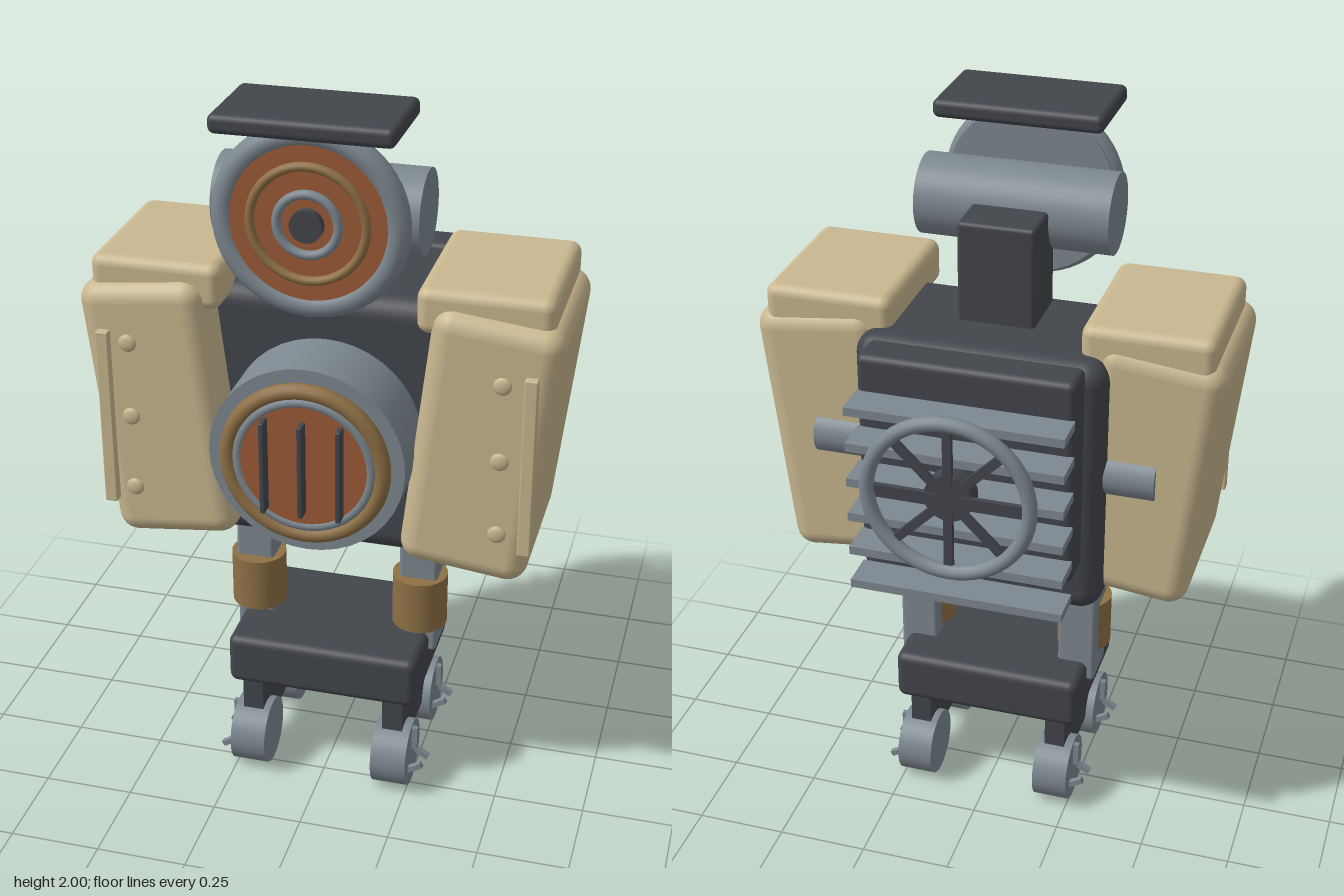
import * as THREE from 'three';
import { RoundedBoxGeometry } from 'three/addons/geometries/RoundedBoxGeometry.js';

const material = (name, color) => {
  const m = new THREE.MeshStandardMaterial({ color });
  m.name = name;
  return m;
};

export function createModel() {
  const model = new THREE.Group();
  model.name = 'robot';
  const tan = material('tan armour', 0xc8b78f);
  const dark = material('dark frame', 0x42454b);
  const steel = material('grey steel', 0x7d8890);
  const bronze = material('bronze', 0x8e7045);
  const copper = material('copper', 0x9c5a36);

  const add = (name, geometry, mat, x, y, z, parent = model) => {
    const mesh = new THREE.Mesh(geometry, mat);
    mesh.name = name;
    mesh.position.set(x, y, z);
    parent.add(mesh);
    return mesh;
  };
  const box = (name, mat, w, h, d, r, x, y, z) =>
    add(name, r ? new RoundedBoxGeometry(w, h, d, 4, r) : new THREE.BoxGeometry(w, h, d), mat, x, y, z);
  // Cylinder lying along the given axis
  const cylinder = (name, mat, r, length, axis, x, y, z) => {
    const g = new THREE.CylinderGeometry(r, r, length, 40);
    if (axis === 'x') g.rotateZ(Math.PI / 2);
    if (axis === 'z') g.rotateX(Math.PI / 2);
    return add(name, g, mat, x, y, z);
  };
  const ring = (name, mat, R, tube, x, y, z) =>
    add(name, new THREE.TorusGeometry(R, tube, 12, 56), mat, x, y, z);

  // Torso and neck
  box('torso', dark, 0.68, 0.745, 0.42, 0.06, 0, 1.1025, 0);
  box('neck', dark, 0.21, 0.35, 0.19, 0.012, 0, 1.575, 0.065);

  // Head: cross drum, round face and visor
  cylinder('headDrum', steel, 0.11, 0.53, 'x', 0, 1.723, 0.205);
  cylinder('faceBack', steel, 0.235, 0.05, 'z', 0, 1.723, 0.325);
  ring('faceRim', steel, 0.22, 0.033, 0, 1.723, 0.337);
  cylinder('faceDisc', copper, 0.2, 0.02, 'z', 0, 1.723, 0.352);
  ring('faceOuterRing', bronze, 0.147, 0.012, 0, 1.723, 0.364);
  ring('faceInnerRing', steel, 0.078, 0.012, 0, 1.723, 0.368);
  cylinder('facePupil', dark, 0.042, 0.03, 'z', 0, 1.723, 0.368);
  box('visor', dark, 0.46, 0.05, 0.272, 0.018, 0, 1.975, 0.291);

  // Chest porthole with three bars
  cylinder('chestDrum', steel, 0.26, 0.22, 'z', 0, 1.09, 0.29);
  ring('chestBronzeRing', bronze, 0.205, 0.022, 0, 1.09, 0.412);
  ring('chestInnerRing', steel, 0.177, 0.016, 0, 1.09, 0.415);
  cylinder('chestDisc', copper, 0.168, 0.035, 'z', 0, 1.09, 0.41);
  for (const x of [-0.1, 0, 0.1]) box('chestBar', dark, 0.014, 0.26, 0.045, 0.004, x, 1.087, 0.441);

  // Back radiator with fins and fan
  box('radiator', dark, 0.58, 0.59, 0.11, 0.02, 0, 1.18, -0.248);
  for (let i = 0; i < 6; i++) box('radiatorFin', steel, 0.58, 0.024, 0.1, 0, 0, 0.843 + i * 0.104, -0.35);
  ring('fanRim', steel, 0.216, 0.02, 0, 1.18, -0.445);
  cylinder('fanHub', dark, 0.065, 0.05, 'z', 0, 1.18, -0.418);
  for (let i = 0; i < 4; i++) {
    box('fanSpoke', dark, 0.42, 0.024, 0.014, 0, 0, 1.18, -0.44).rotation.z = i * Math.PI / 4;
  }

  for (const s of [-1, 1]) {
    // Shoulder pods, leaning inwards at the bottom
    cylinder('shoulderAxle', steel, 0.065, 0.2, 'x', s * 0.37, 1.137, -0.11);
    box('armPod', tan, 0.342, 0.735, 0.48, 0.055, s * 0.43, 1.132, 0.09).rotation.z = -s * 0.115;
    box('shoulderCap', tan, 0.35, 0.125, 0.435, 0.03, s * 0.43, 1.4925, 0.08);
    box('podStrip', tan, 0.034, 0.5, 0.03, 0.004, s * 0.561, 1.115, 0.337);
    for (const y of [0.92, 1.131, 1.342]) {
      add('podRivet', new THREE.SphereGeometry(0.024, 20, 12), tan, s * 0.49, y, 0.35).scale.z = 0.42;
    }

    // Legs
    box('leg', steel, 0.107, 0.43, 0.135, 0.01, s * 0.236, 0.585, 0.048);
    cylinder('kneeSleeve', bronze, 0.077, 0.155, 'y', s * 0.235, 0.527, 0.078);

    // Wheel bracket, wheels and hub pins
    box('wheelBracket', dark, 0.058, 0.2, 0.38, 0, s * 0.203, 0.21, 0.075);
    for (const z of [0.232, -0.085]) {
      cylinder('wheel', steel, 0.095, 0.1, 'x', s * 0.205, 0.1, z);
      for (let i = 0; i < 3; i++) {
        const a = i * Math.PI * 2 / 3;
        const pin = box('hubPin', steel, 0.016, 0.07, 0.016, 0,
          s * 0.262, 0.1 + Math.cos(a) * 0.05, z + Math.sin(a) * 0.05);
        pin.rotation.z = a;
      }
    }
  }

  // Base joining both legs
  box('base', dark, 0.54, 0.15, 0.42, 0.025, 0, 0.355, 0.072);
  return model;
}
